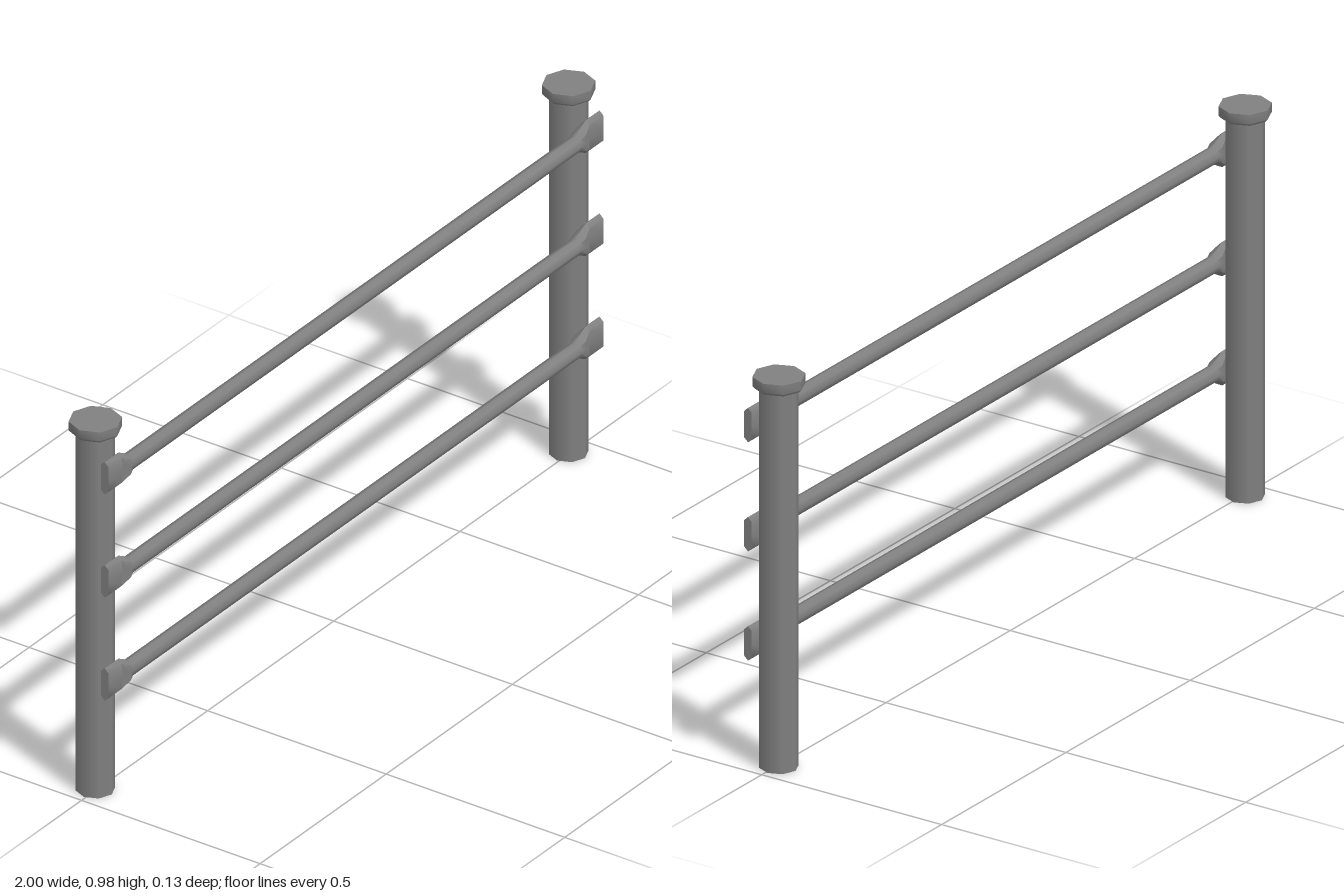
import * as THREE from 'three';
import { toCreasedNormals } from 'three/addons/utils/BufferGeometryUtils.js';

const SIDES = 8;
const POST_X = 0.938, POST_Z = -0.005;
const RAIL_Z = 0.048;

// Eight-sided rail sections: [peak y, shoulder y, peak z, shoulder z]
const TUBE = [0.021, 0.0148, 0.02, 0.0141];
const COLLAR = [0.03, 0.02, 0.019, 0.018];
const PLATE = [0.043, 0.033, 0.0105, 0.0105];

// Rail stations from one end to the other: [x, section]
const STATIONS = [
  [-0.976, PLATE], [-0.922, PLATE], [-0.898, COLLAR], [-0.883, TUBE],
  [0.889, TUBE], [0.905, COLLAR], [0.931, PLATE], [0.986, PLATE],
];

function createPost(material) {
  const post = new THREE.Group();
  const shaft = new THREE.Mesh(new THREE.CylinderGeometry(0.046, 0.046, 0.95, SIDES), material);
  shaft.name = 'postShaft';
  shaft.position.y = 0.475;

  // Cap with a small chamfer around its lower edge
  const capProfile = [[0, 0.948], [0.057, 0.948], [0.062, 0.954], [0.062, 0.977], [0, 0.977]]
    .map(([r, y]) => new THREE.Vector2(r, y));
  const cap = new THREE.Mesh(
    toCreasedNormals(new THREE.LatheGeometry(capProfile, SIDES), 0.82), material);
  cap.name = 'postCap';
  post.add(shaft, cap);
  return post;
}

// Scales one unit-octagon coordinate to the peak or shoulder size of a section
function sectionSize(unit, peak, shoulder) {
  const a = Math.abs(unit);
  if (a < 0.1) return 0;
  return Math.sign(unit) * (a > 0.9 ? peak : shoulder);
}

// Round tube whose ends are pressed into thin, taller plates
function createRailGeometry() {
  const rows = STATIONS.length - 1;
  const geometry = new THREE.CylinderGeometry(1, 1, rows, SIDES, rows);
  geometry.rotateZ(-Math.PI / 2);
  const p = geometry.attributes.position;
  for (let i = 0; i < p.count; i++) {
    const [x, [peakY, shoulderY, peakZ, shoulderZ]] = STATIONS[Math.round(p.getX(i) + rows / 2)];
    p.setXYZ(i, x,
      sectionSize(p.getY(i), peakY, shoulderY),
      sectionSize(p.getZ(i), peakZ, shoulderZ));
  }
  return toCreasedNormals(geometry, 0.85);
}

export function createModel() {
  const model = new THREE.Group();
  model.name = 'railFence';
  const material = new THREE.MeshStandardMaterial({ color: 0x808080 });

  // Two upright posts
  for (const side of [-1, 1]) {
    const post = createPost(material);
    post.name = side > 0 ? 'leftPost' : 'rightPost';
    post.position.set(side * POST_X, 0, POST_Z);
    model.add(post);
  }

  // Three horizontal rails on the front of the posts
  const railGeometry = createRailGeometry();
  ['lowerRail', 'middleRail', 'upperRail'].forEach((name, i) => {
    const rail = new THREE.Mesh(railGeometry, material);
    rail.name = name;
    rail.position.set(0, 0.311 + i * 0.2725, RAIL_Z);
    model.add(rail);
  });
  return model;
}
